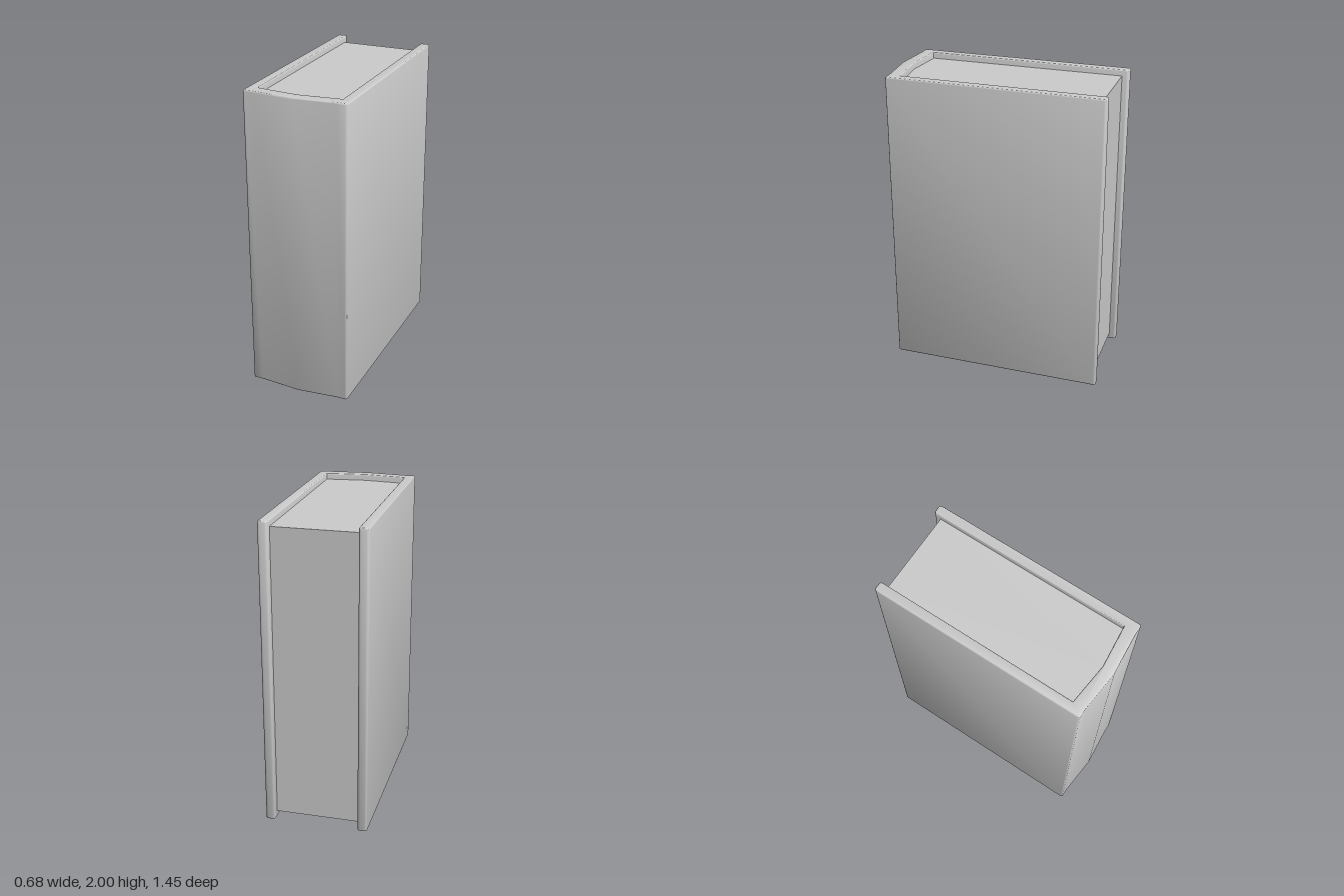
import * as THREE from 'three';
import { toCreasedNormals } from 'three/addons/utils/BufferGeometryUtils.js';

const material = new THREE.MeshStandardMaterial({ color: 0xcccccc });

// Plan outline given as [x, z] for the +x half, mirrored to -x, with rounded corners of radius r.
function mirroredOutline(half) {
  const pts = [...half, ...half.slice().reverse().filter(p => p[0] > 0).map(([x, z, r]) => [-x, z, r])]
    .map(([x, z, r = 0]) => ({ p: new THREE.Vector2(x, -z), r }));
  const shape = new THREE.Shape();
  pts.forEach(({ p, r }, i) => {
    const prev = pts[(i + pts.length - 1) % pts.length].p;
    const next = pts[(i + 1) % pts.length].p;
    const a = p.clone().add(prev.clone().sub(p).setLength(r));
    const b = p.clone().add(next.clone().sub(p).setLength(r));
    if (i === 0) shape.moveTo(a.x, a.y);
    else shape.lineTo(a.x, a.y);
    if (r > 0) shape.quadraticCurveTo(p.x, p.y, b.x, b.y);
  });
  shape.closePath();
  return shape;
}

// Upright prism from y0 to y1 with softened top and bottom edges.
function upright(name, shape, y0, y1, bevel) {
  const geo = new THREE.ExtrudeGeometry(shape, {
    depth: y1 - y0 - 2 * bevel,
    curveSegments: 4,
    bevelEnabled: bevel > 0,
    bevelSize: bevel,
    bevelThickness: bevel,
    bevelOffset: -bevel,
    bevelSegments: 3,
  });
  geo.rotateX(-Math.PI / 2);
  geo.translate(0, y0 + bevel, 0);
  const mesh = new THREE.Mesh(toCreasedNormals(geo, 0.6), material);
  mesh.name = name;
  return mesh;
}

export function createModel() {
  const book = new THREE.Group();
  book.name = 'book';

  // Cover: two boards joined by a gently peaked spine
  const cover = mirroredOutline([
    [0, 0.643],
    [0.274, 0.615],
    [0.274, -0.725, 0.018],
    [0.338, -0.725, 0.018],
    [0.338, 0.697, 0.014],
    [0.27, 0.697],
    [0, 0.722],
  ]);
  book.add(upright('cover', cover, 0, 2, 0.008));

  // Page block: recessed at the top, bottom and open edge
  const pages = mirroredOutline([
    [0, 0.641],
    [0.275, 0.613],
    [0.275, -0.68],
  ]);
  book.add(upright('pages', pages, 0.04, 1.96, 0));

  return book;
}
